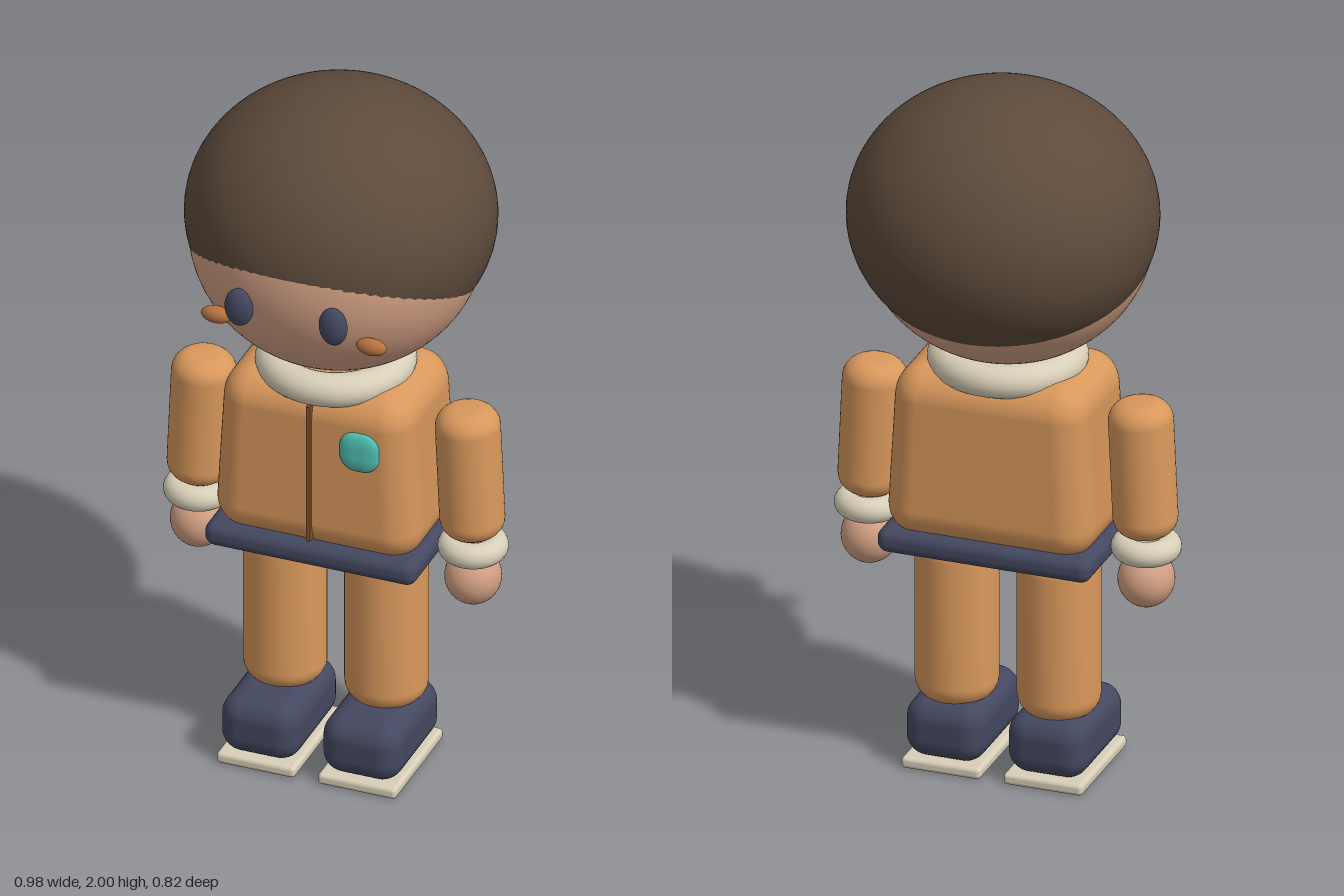
import * as THREE from 'three';
import { RoundedBoxGeometry } from 'three/addons/geometries/RoundedBoxGeometry.js';

const mat = (name, color) => {
  const m = new THREE.MeshStandardMaterial({ color });
  m.name = name;
  return m;
};

export function createModel() {
  const root = new THREE.Group();
  root.name = 'suitedFigure';
  const suit = mat('orangeSuit', 0xd9985c);
  const skin = mat('skin', 0xd2a083);
  const hairMat = mat('brownHair', 0x5d4a3b);
  const navy = mat('navy', 0x444860);
  const cream = mat('cream', 0xd8cfb8);
  const teal = mat('teal', 0x50c0b2);
  const blush = mat('blush', 0xb8713f);
  const zipMat = mat('zipBrown', 0x8a5230);
  const midZ = 0.032;

  const add = (name, geometry, material, x, y, z) => {
    const mesh = new THREE.Mesh(geometry, material);
    mesh.name = name;
    mesh.position.set(x, y, z);
    root.add(mesh);
    return mesh;
  };
  const ellipsoid = (rx, ry, rz, n = 32) =>
    new THREE.SphereGeometry(1, n, Math.round(n * 0.75)).scale(rx, ry, rz);
  const box = (w, h, d, r) => new RoundedBoxGeometry(w, h, d, 5, r);

  // Cylinder with rounded rims, centred on the origin
  const roundedCylinder = (r, h, c) => {
    const pts = [new THREE.Vector2(0, -h / 2)];
    for (const end of [-1, 1]) {
      for (let i = 0; i <= 6; i++) {
        const a = (end < 0 ? i - 6 : i) * Math.PI / 12;
        pts.push(new THREE.Vector2(r - c + c * Math.cos(a), end * (h / 2 - c) + c * Math.sin(a)));
      }
    }
    pts.push(new THREE.Vector2(0, h / 2));
    return new THREE.LatheGeometry(pts, 40);
  };
  const ring = (R, t) => new THREE.TorusGeometry(R, t, 20, 48).rotateX(Math.PI / 2);

  // Head, with hair shell overlapping it along a sloping hairline
  add('head', ellipsoid(0.401, 0.38, 0.383, 80), skin, 0, 1.6, 0.02);
  add('hair', ellipsoid(0.42, 0.365, 0.405, 80), hairMat, 0, 1.635, -0.005);

  // Torso, narrowing slightly toward the shoulders
  const torsoGeo = box(0.59, 0.5, 0.385, 0.09);
  const p = torsoGeo.attributes.position;
  for (let i = 0; i < p.count; i++) {
    p.setX(i, p.getX(i) * (1 - 0.1 * (p.getY(i) / 0.5 + 0.5)));
  }
  torsoGeo.scale(1.01, 1, 1);
  add('torso', torsoGeo, suit, 0, 0.95, 0.028);
  add('belt', box(0.605, 0.07, 0.405, 0.03), navy, 0, 0.692, midZ);
  add('collar', ring(0.169, 0.047), cream, 0, 1.203, midZ);
  add('zip', new THREE.BoxGeometry(0.012, 0.42, 0.03), zipMat, 0, 0.95, 0.217);
  add('badge', box(0.112, 0.116, 0.112, 0.045).scale(1, 1, 0.36), teal, 0.143, 1.045, 0.219);

  // Mirrored parts
  for (const [s, side] of [[1, 'left'], [-1, 'right']]) {
    add(side + 'Eye', ellipsoid(0.04, 0.056, 0.025), navy, s * 0.135, 1.53, 0.388);
    add(side + 'Cheek', ellipsoid(0.043, 0.024, 0.022), blush, s * 0.222, 1.455, 0.332);

    add(side + 'Arm', roundedCylinder(0.088, 0.39, 0.055), suit, s * 0.384, 0.935, midZ)
      .rotation.z = s * 0.045;
    add(side + 'Cuff', ring(0.06, 0.035), cream, s * 0.393, 0.707, midZ);
    add(side + 'Hand', ellipsoid(0.077, 0.08, 0.077), skin, s * 0.393, 0.613, midZ);

    add(side + 'Leg', roundedCylinder(0.113, 0.49, 0.06), suit, s * 0.145, 0.425, midZ);
    add(side + 'Shoe', box(0.225, 0.17, 0.345, 0.06), navy, s * 0.145, 0.115, 0.077);
    add(side + 'Sole', box(0.225, 0.033, 0.345, 0.012), cream, s * 0.145, 0.0165, 0.077);
  }
  return root;
}
